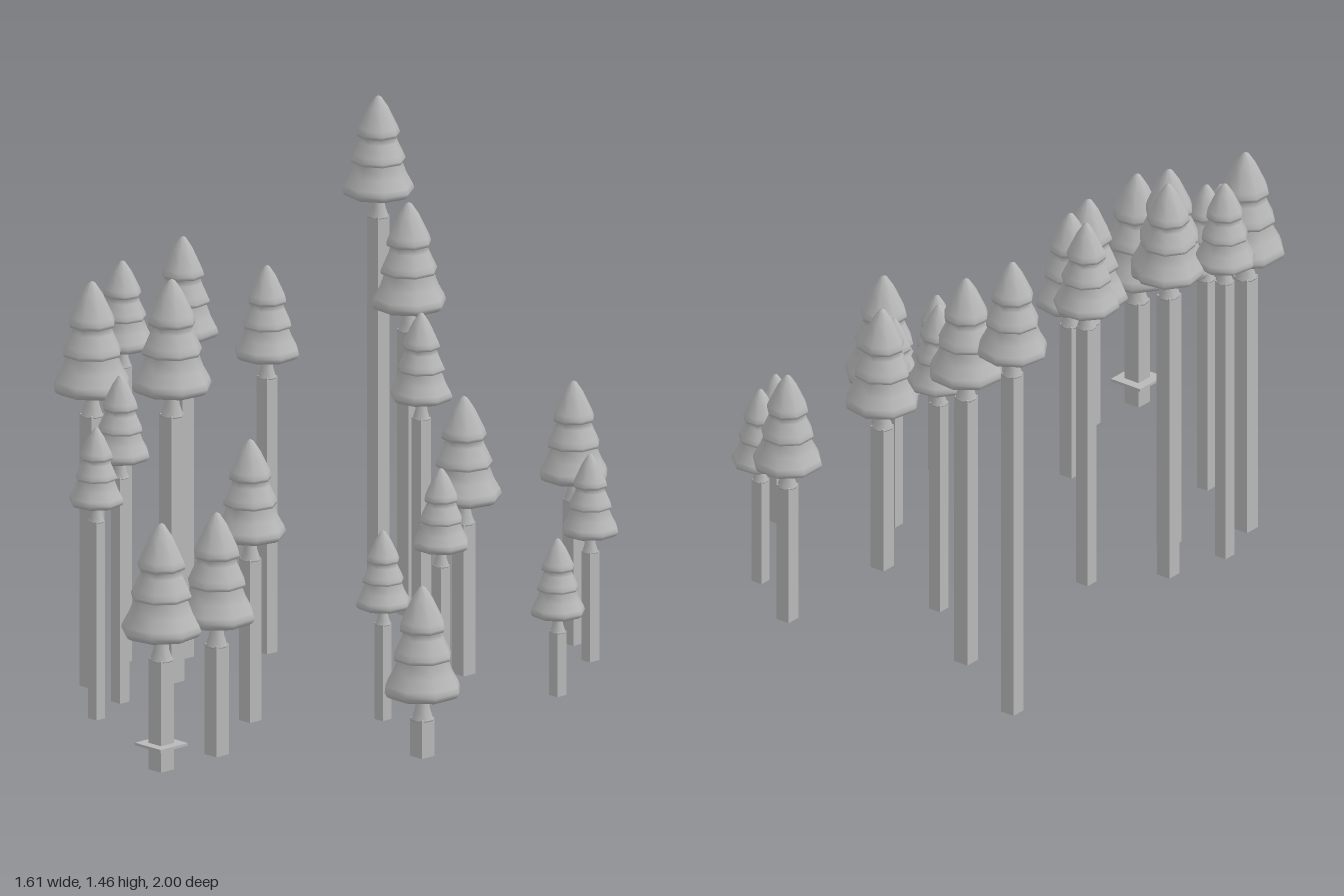
import * as THREE from 'three';

// x, z, apex height, crown height
const TREES = [
  [-0.71, -0.895, 1.46, 0.297], [-0.40, -0.72, 1.24, 0.315], [0.16, -0.84, 0.80, 0.293],
  [0.355, -0.72, 0.645, 0.24], [-0.148, -0.53, 1.0, 0.26], [0.16, -0.405, 0.84, 0.312],
  [0.56, -0.395, 0.50, 0.23], [0.28, -0.20, 0.69, 0.24], [-0.37, -0.13, 1.175, 0.275],
  [-0.515, 0.065, 1.27, 0.297], [-0.578, 0.245, 1.22, 0.26], [-0.378, 0.24, 1.205, 0.335],
  [-0.495, 0.445, 1.215, 0.33], [-0.27, 0.547, 1.0, 0.25], [-0.177, 0.73, 0.90, 0.23],
  [0.10, 0.385, 0.855, 0.295], [0.395, 0.14, 0.595, 0.23], [0.69, 0.265, 0.515, 0.327],
  [0.27, 0.68, 0.73, 0.327], [0.255, 0.885, 0.735, 0.336],
];

const lathe = (pts) => new THREE.LatheGeometry(pts.map(([r, y]) => new THREE.Vector2(r, y)), 8);

export function createModel() {
  const group = new THREE.Group();
  group.name = 'pineGrove';
  const grey = new THREE.MeshStandardMaterial({ color: 0xb8b8b8 });
  grey.name = 'grey';

  // Three flared tiers, apex at y = 0, crown one unit tall
  const crownGeo = lathe([
    [0, -0.99], [0.30, -1], [0.335, -0.98], [0.354, -0.94], [0.335, -0.89], [0.28, -0.79],
    [0.235, -0.67], [0.262, -0.66], [0.268, -0.63], [0.245, -0.58], [0.19, -0.46],
    [0.175, -0.41], [0.205, -0.40], [0.212, -0.37], [0.195, -0.32], [0.10, -0.12], [0.03, -0.015], [0, 0],
  ]);
  // Small flared skirt under the crown
  const collarGeo = lathe([[0, -1.22], [0.1, -1.22], [0.1, -1.21], [0.07, -1.12], [0.055, -0.98]]);
  const trunkGeo = new THREE.BoxGeometry(1, 1, 1);

  TREES.forEach(([x, z, top, h], i) => {
    const tree = new THREE.Group();
    tree.name = 'tree' + (i + 1);
    tree.position.set(x, 0, z);
    const add = (geo, name) => {
      const mesh = new THREE.Mesh(geo, grey);
      mesh.name = name;
      tree.add(mesh);
      return mesh;
    };
    // Foliage, turned a little differently on each tree
    for (const [geo, name] of [[crownGeo, 'crown'], [collarGeo, 'collar']]) {
      const part = add(geo, name);
      part.scale.setScalar(h);
      part.position.y = top;
      part.rotation.y = 0.2 + (i % 5) * 0.09;
    }
    // Square trunk
    const bottom = Math.max(0, 0.09 - 0.25 * h);
    const trunkTop = top - 1.2 * h;
    const trunk = add(trunkGeo, 'trunk');
    trunk.scale.set(0.153 * h, trunkTop - bottom, 0.153 * h);
    trunk.position.y = (trunkTop + bottom) / 2;
    // Thin square plate around the foremost trunk
    if (i === TREES.length - 1) {
      trunk.scale.y = trunkTop;
      trunk.position.y = trunkTop / 2;
      add(new THREE.BoxGeometry(0.107, 0.008, 0.107), 'basePlate').position.y = 0.075;
    }
    group.add(tree);
  });
  return group;
}
